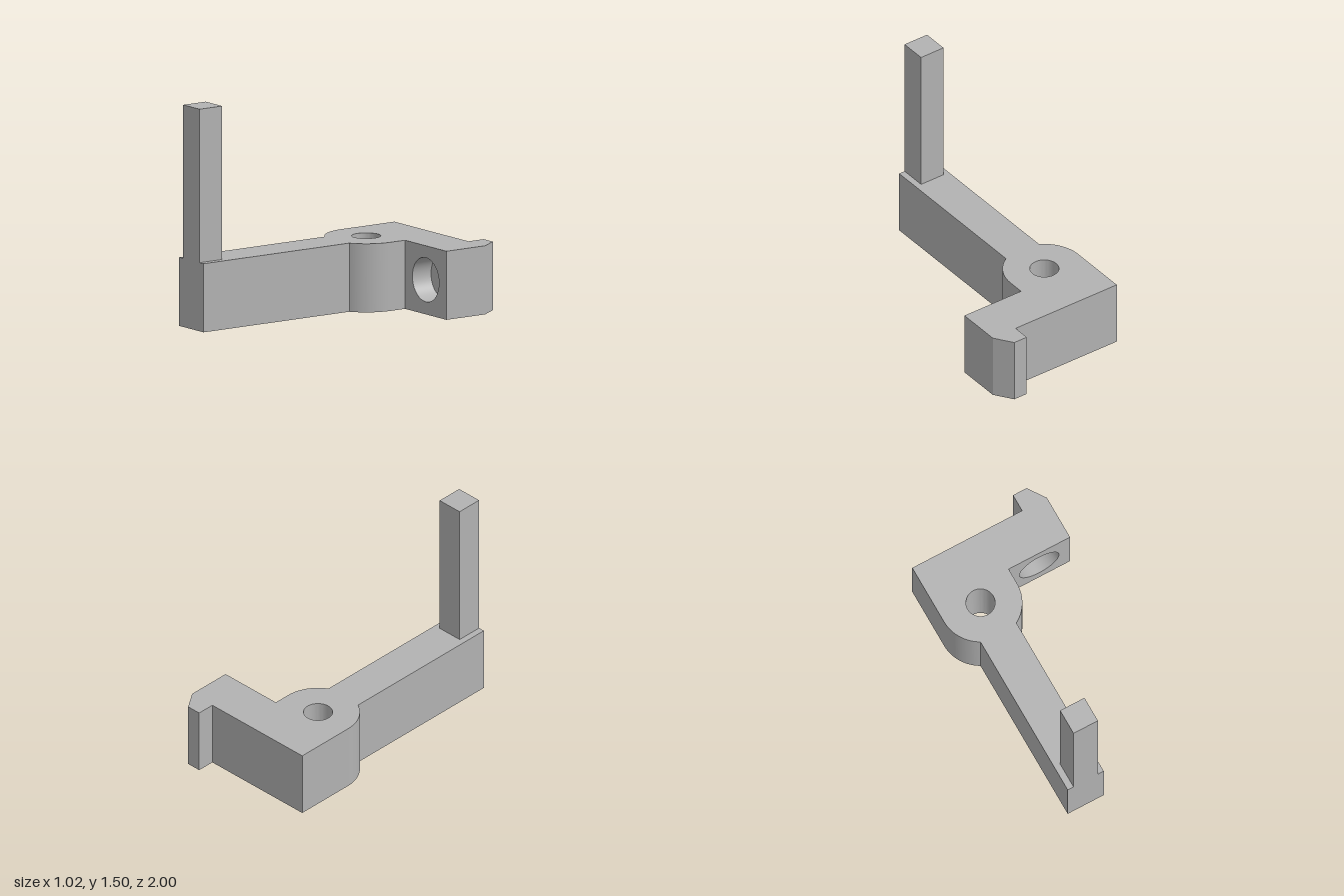
import * as THREE from 'three';
import { toCreasedNormals } from 'three/addons/utils/BufferGeometryUtils.js';

const HEIGHT = 0.465;
const PIVOT = { x: -0.235, z: -0.44, bossRadius: 0.278, holeRadius: 0.097 };
const ARM = { left: 0.043, right: 0.51, front: -0.557, pocketFloor: -0.71, back: -0.875 };
const POCKET = { x: 0.276, y: 0.235, radius: 0.15 };

function circleHole(x, y, r) {
  return new THREE.Path().absarc(x, y, r, 0, Math.PI * 2, true);
}

function extrude(shape, depth) {
  const geometry = new THREE.ExtrudeGeometry(shape, { depth, bevelEnabled: false, curveSegments: 32 });
  return toCreasedNormals(geometry, Math.PI / 6);
}

export function createModel() {
  const group = new THREE.Group();
  const grey = new THREE.MeshStandardMaterial({ color: 0xb2b2b2 });
  grey.name = 'plain grey';

  const add = (name, geometry) => {
    const mesh = new THREE.Mesh(geometry, grey);
    mesh.name = name;
    group.add(mesh);
    return mesh;
  };

  // Lever body: plan outline drawn in (x, -z), with a rounded boss and a hooked arm
  const cx = PIVOT.x, cy = -PIVOT.z, r = PIVOT.bossRadius;
  const barLeft = -0.37, barRight = -0.096;
  const rightAngle = -Math.acos((barRight - cx) / r);
  const leftAngle = -Math.acos((barLeft - cx) / r);
  const plan = new THREE.Shape();
  plan.moveTo(barLeft, -1);
  plan.lineTo(barRight, -1);
  plan.absarc(cx, cy, r, rightAngle, 0, false);
  plan.lineTo(ARM.left, -ARM.pocketFloor);
  plan.lineTo(ARM.right, -ARM.pocketFloor);
  plan.lineTo(ARM.right, -ARM.back);
  plan.lineTo(0.425, 1);
  plan.lineTo(0.322, 1);
  plan.lineTo(0.322, -ARM.back);
  plan.lineTo(cx - r, -ARM.back);
  plan.absarc(cx, cy, r, -Math.PI, leftAngle, false);
  plan.closePath();
  plan.holes.push(circleHole(cx, cy, PIVOT.holeRadius));
  add('leverBody', extrude(plan, HEIGHT).rotateX(-Math.PI / 2));

  // Front layer of the arm, whose round opening forms a blind pocket
  const face = new THREE.Shape();
  face.moveTo(ARM.left, 0);
  face.lineTo(ARM.right, 0);
  face.lineTo(ARM.right, HEIGHT);
  face.lineTo(ARM.left, HEIGHT);
  face.closePath();
  face.holes.push(circleHole(POCKET.x, POCKET.y, POCKET.radius));
  add('armWithPocket', extrude(face, ARM.front - ARM.pocketFloor)).position.z = ARM.pocketFloor;

  // Square post standing on the end of the bar
  const postHeight = 1.505 - HEIGHT;
  add('post', new THREE.BoxGeometry(0.185, postHeight, 0.185))
    .position.set(-0.233, HEIGHT + postHeight / 2, 0.9075);

  return group;
}
